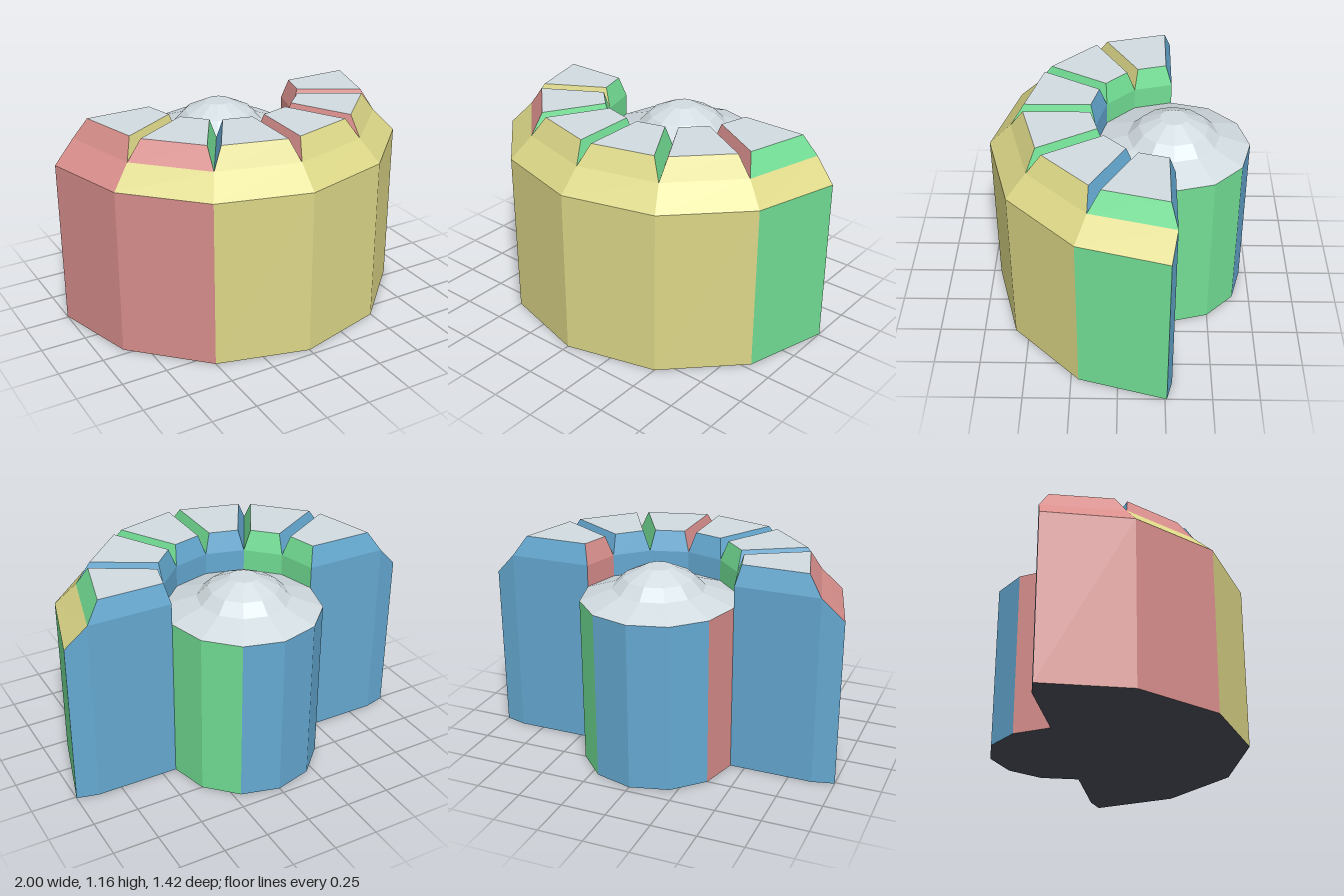
import * as THREE from 'three';

const mat = (name, color) => Object.assign(new THREE.MeshStandardMaterial({ color }), { name });

const CZ = -0.29;            // z of the common centre of tower and ring
const STEP = Math.PI / 6;    // both are twelve-sided
const WALL = 0.93, LEDGE = 1.05, TOP = 1.16;
const R_IN = 0.42, R_LEDGE = 0.88;

const polar = (r, k, y) => [r * Math.cos(k * STEP), y, CZ + r * Math.sin(k * STEP)];

// Outer corner k of the half ring; the two end corners are chopped forward a little
function outer(k, y) {
  const p = polar(1, k, y);
  if (k === 0 || k === 6) p[2] = -0.26;
  return p;
}

// Flat-shaded mesh from convex faces [material, p0, p1, p2, ...], one group per face
function faceMesh(name, faces) {
  const pos = [], mats = [], geo = new THREE.BufferGeometry();
  for (const [m, ...p] of faces) {
    const start = pos.length / 3;
    for (let i = 1; i < p.length - 1; i++) pos.push(...p[0], ...p[i], ...p[i + 1]);
    if (!mats.includes(m)) mats.push(m);
    geo.addGroup(start, pos.length / 3 - start, mats.indexOf(m));
  }
  geo.setAttribute('position', new THREE.Float32BufferAttribute(pos, 3));
  geo.computeVertexNormals();
  const mesh = new THREE.Mesh(geo, mats);
  mesh.name = name;
  return mesh;
}

export function createModel() {
  const R = mat('red', 0xd98f8c), G = mat('green', 0x72de94), B = mat('blue', 0x64a8d0);
  const Y = mat('yellow', 0xdcd787), grey = mat('pale grey', 0xd2dce1), dark = mat('dark slate', 0x4a4e59);
  const model = new THREE.Group();
  model.name = 'steppedHalfRing';

  // Colours by segment, running from the +x end round the front to the -x end
  const wallCol = [G, Y, Y, Y, R, R];
  const bevelCol = [Y, Y, Y, Y, Y, R];
  const innerCol = [R, B, B, B, G, G];
  const startCol = [B, B, G, G, G, Y];
  const endCol = [R, R, R, B, B, B];
  const towerCol = [R, B, B, B, G, G];

  // Curved front wall, sloping ledge and inner riser
  const walls = [], bevels = [], risers = [];
  for (let k = 0; k < 6; k++) {
    const j = k + 1;
    walls.push([wallCol[k], outer(j, 0), outer(k, 0), outer(k, WALL), outer(j, WALL)]);
    bevels.push([bevelCol[k], outer(j, WALL), outer(k, WALL), polar(R_LEDGE, k, LEDGE), polar(R_LEDGE, j, LEDGE)]);
    risers.push([innerCol[k], polar(R_IN, j, LEDGE), polar(R_IN, k, LEDGE), polar(R_IN, k, WALL), polar(R_IN, j, WALL)]);
  }
  model.add(faceMesh('frontWall', walls), faceMesh('slopingLedge', bevels), faceMesh('innerRiser', risers));

  // Flat back walls, mirrored left and right
  const backs = [];
  for (const s of [1, -1]) {
    const a = y => [s, y, -0.26], b = y => [s * R_LEDGE, y, CZ], c = y => [s * R_IN, y, CZ];
    for (const quad of [
      [a(0), b(0), b(LEDGE), a(WALL)],
      [b(0), c(0), c(LEDGE), b(LEDGE)],
    ]) backs.push([B, ...(s > 0 ? quad : quad.reverse())]);
  }
  model.add(faceMesh('backWalls', backs));

  // Rear half of the round tower
  const tower = [];
  for (let k = 6; k < 12; k++) {
    tower.push([towerCol[k - 6], polar(R_IN, k + 1, 0), polar(R_IN, k, 0), polar(R_IN, k, WALL), polar(R_IN, k + 1, WALL)]);
  }
  model.add(faceMesh('towerWall', tower));

  // Faceted tower roof
  const profile = [[R_IN, WALL], [0.25, 0.99], [0.19, 1.05], [0.075, 1.105], [0, 1.105]];
  const roofGeo = new THREE.LatheGeometry(profile.map(p => new THREE.Vector2(...p)), 12).toNonIndexed();
  roofGeo.computeVertexNormals();
  const roof = new THREE.Mesh(roofGeo, grey);
  roof.name = 'towerRoof';
  roof.position.z = CZ;
  model.add(roof);

  // Six tapered blocks with V grooves between them
  const tan = Math.tan(STEP / 2);
  for (let k = 0; k < 6; k++) {
    const mid = (k + 0.5) * STEP, c = Math.cos(mid), s = Math.sin(mid);
    // Top corner: d along the block's axis, side -1 at the start and 1 at the end
    const top = (d, side) => {
      const w = side * (d * tan - 0.036);
      return [d * c - w * s, TOP, CZ + d * s + w * c];
    };
    const lo0 = polar(R_LEDGE, k, LEDGE), lo1 = polar(R_LEDGE, k + 1, LEDGE);
    const li0 = polar(R_IN, k, LEDGE), li1 = polar(R_IN, k + 1, LEDGE);
    const to0 = top(0.787, -1), to1 = top(0.787, 1), ti0 = top(0.44, -1), ti1 = top(0.44, 1);
    model.add(faceMesh('block' + (k + 1), [
      [wallCol[k], lo1, lo0, to0, to1],
      [grey, to1, to0, ti0, ti1],
      [innerCol[k], ti1, ti0, li0, li1],
      [startCol[k], lo0, li0, ti0, to0],
      [endCol[k], li1, lo1, to1, ti1],
    ]));
  }

  // Underside, fanned from the centre
  const outline = [];
  for (let k = 0; k <= 6; k++) outline.push(outer(k, 0));
  outline.push([-R_LEDGE, 0, CZ]);
  for (let k = 6; k <= 12; k++) outline.push(polar(R_IN, k, 0));
  outline.push([R_LEDGE, 0, CZ], outer(0, 0));
  model.add(faceMesh('underside', [[dark, [0, 0, CZ], ...outline]]));

  return model;
}
